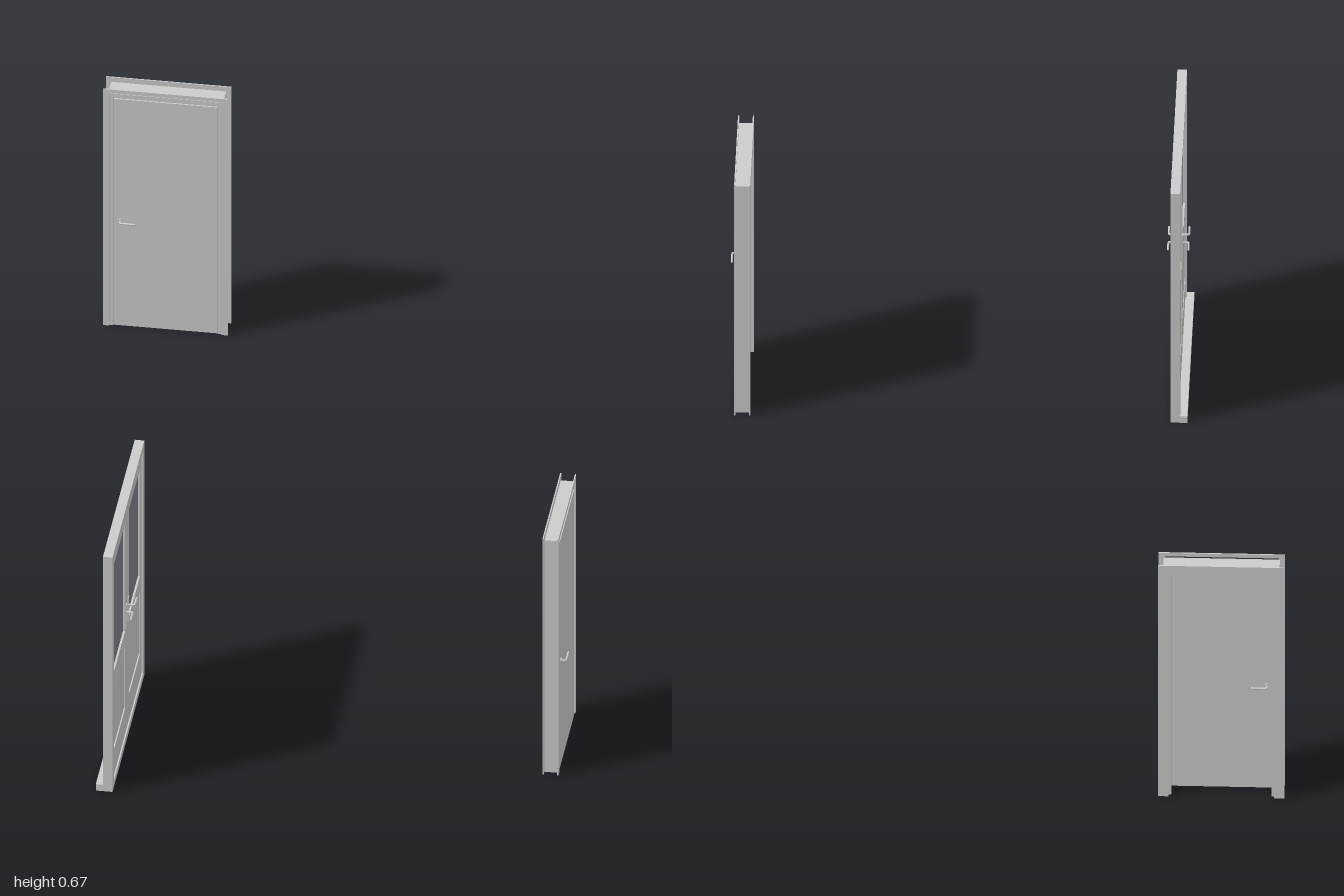
import * as THREE from 'three';

const grey = new THREE.MeshStandardMaterial({ color: 0xcccccc, flatShading: true });
const metal = new THREE.MeshStandardMaterial({ color: 0xcccccc });
const glass = new THREE.MeshStandardMaterial({ color: 0x808289 });

function add(parent, name, geometry, x = 0, y = 0, z = 0, material = grey) {
  const mesh = new THREE.Mesh(geometry, material);
  mesh.name = name;
  mesh.position.set(x, y, z);
  parent.add(mesh);
  return mesh;
}

// Box given by its limits
function block(parent, name, x0, x1, y0, y1, z0, z1, material = grey) {
  return add(parent, name, new THREE.BoxGeometry(x1 - x0, y1 - y0, z1 - z0),
    (x0 + x1) / 2, (y0 + y1) / 2, (z0 + z1) / 2, material);
}

// Upside-down U standing on the floor: casing or jamb
function portal(parent, name, half, top, innerHalf, innerTop, z0, z1) {
  const s = new THREE.Shape([
    [-half, 0], [-innerHalf, 0], [-innerHalf, innerTop], [innerHalf, innerTop],
    [innerHalf, 0], [half, 0], [half, top], [-half, top],
  ].map(([x, y]) => new THREE.Vector2(x, y)));
  return add(parent, name, new THREE.ExtrudeGeometry(s, { depth: z1 - z0, bevelEnabled: false }), 0, 0, z0);
}

function rectPath(x0, x1, y0, y1, Type = THREE.Path) {
  return new Type([[x0, y0], [x1, y0], [x1, y1], [x0, y1]].map(([x, y]) => new THREE.Vector2(x, y)));
}

// Lever handle on a face at z; side is +1 for front, dir is the way the lever points
function lever(parent, x, y, z, side, dir, length, reach, plate) {
  const g = new THREE.Group();
  g.name = 'leverHandle';
  g.position.set(x, y, z);
  g.scale.set(dir, 1, side);
  parent.add(g);
  if (plate) block(g, 'backPlate', -0.006, 0.006, -0.045, 0.022, 0, 0.002, metal);
  else add(g, 'rosette', new THREE.CylinderGeometry(0.006, 0.006, 0.003, 20), 0, 0, 0.0015, metal).rotation.x = Math.PI / 2;
  const path = new THREE.CurvePath();
  const bend = reach - 0.005;
  path.add(new THREE.LineCurve3(new THREE.Vector3(0, 0, 0), new THREE.Vector3(0, 0, bend)));
  path.add(new THREE.QuadraticBezierCurve3(new THREE.Vector3(0, 0, bend),
    new THREE.Vector3(0, 0, reach - 0.002), new THREE.Vector3(0.004, 0, reach - 0.002)));
  path.add(new THREE.LineCurve3(new THREE.Vector3(0.004, 0, reach - 0.002), new THREE.Vector3(length, 0, reach - 0.002)));
  add(g, 'grip', new THREE.TubeGeometry(path, 24, 0.0025, 10), 0, 0, 0, metal);
  add(g, 'gripEnd', new THREE.SphereGeometry(0.0025, 10, 8), length, 0, reach - 0.002, metal);
}

// Plain flush door: the leaf lies near the front, the back is a deep reveal
function singleDoor(name, half, depth) {
  const g = new THREE.Group();
  g.name = name;
  const d = depth / 2, body = half - 0.012, open = half - 0.025;
  portal(g, 'frontCasing', half, 0.67, half - 0.015, 0.66, d - 0.003, d);
  portal(g, 'backCasing', half, 0.67, open, 0.645, -d, -d + 0.003);
  portal(g, 'jamb', body, 0.657, open, 0.645, -d + 0.003, d - 0.003);
  portal(g, 'doorStop', open, 0.645, open - 0.006, 0.639, -d + 0.008, d - 0.016);
  block(g, 'leaf', -open + 0.001, open - 0.001, 0.003, 0.644, d - 0.016, d - 0.001);
  const hx = -half + 0.042;
  lever(g, hx, 0.3, d - 0.001, 1, 1, 0.036, 0.015);
  lever(g, hx, 0.3, d - 0.016, -1, 1, 0.036, 0.015);
  return g;
}

// Pair of half-glazed leaves in a slim frame with a projecting sill
function doubleDoor() {
  const g = new THREE.Group();
  g.name = 'doubleDoor';
  const front = 0.0115, back = -0.0115;
  portal(g, 'frame', 0.25, 0.665, 0.23, 0.645, back, front);
  block(g, 'sill', -0.25, 0.25, 0, 0.018, back - 0.017, front);

  for (const side of [-1, 1]) {
    const leaf = new THREE.Group();
    leaf.name = side < 0 ? 'rightLeaf' : 'leftLeaf';
    g.add(leaf);
    const span = (a, b) => (side > 0 ? [a, b] : [-b, -a]);
    const [x0, x1] = span(0.0008, 0.23);
    const [p0, p1] = span(0.03, 0.205);

    // Stiles and rails with openings for pane and panel
    const shape = rectPath(x0, x1, 0.018, 0.645, THREE.Shape);
    shape.holes.push(rectPath(p0, p1, 0.31, 0.615), rectPath(p0, p1, 0.09, 0.27));
    add(leaf, 'stilesAndRails', new THREE.ExtrudeGeometry(shape, { depth: 0.016, bevelEnabled: false }), 0, 0, -0.008);
    block(leaf, 'pane', p0, p1, 0.31, 0.615, -0.003, 0.003, glass);

    // Raised panel, bevelled on both faces
    const field = rectPath(p0 + 0.009, p1 - 0.009, 0.099, 0.261, THREE.Shape);
    block(leaf, 'panel', p0, p1, 0.09, 0.27, -0.004, 0.004);
    add(leaf, 'raisedField', new THREE.ExtrudeGeometry(field, {
      depth: 0.008, bevelEnabled: true, bevelThickness: 0.003, bevelSize: 0.006, bevelSegments: 1,
    }), 0, 0, -0.004);

    for (const face of [-1, 1]) lever(leaf, side * 0.0155, 0.355, face * 0.008, face, side, 0.03, 0.018, true);
  }
  return g;
}

export function createModel() {
  const model = new THREE.Group();
  model.name = 'doorSet';

  const wide = singleDoor('wideDoor', 0.149, 0.055);
  wide.position.set(-0.531, 0, -0.9725);

  const narrow = singleDoor('narrowDoor', 0.14, 0.038);
  narrow.position.set(0.647, 0, 0.635);
  narrow.rotation.y = Math.PI / 2;

  const pair = doubleDoor();
  pair.position.set(-0.3735, 0, 0.75);
  pair.rotation.y = Math.PI / 2;

  model.add(wide, narrow, pair);
  return model;
}
